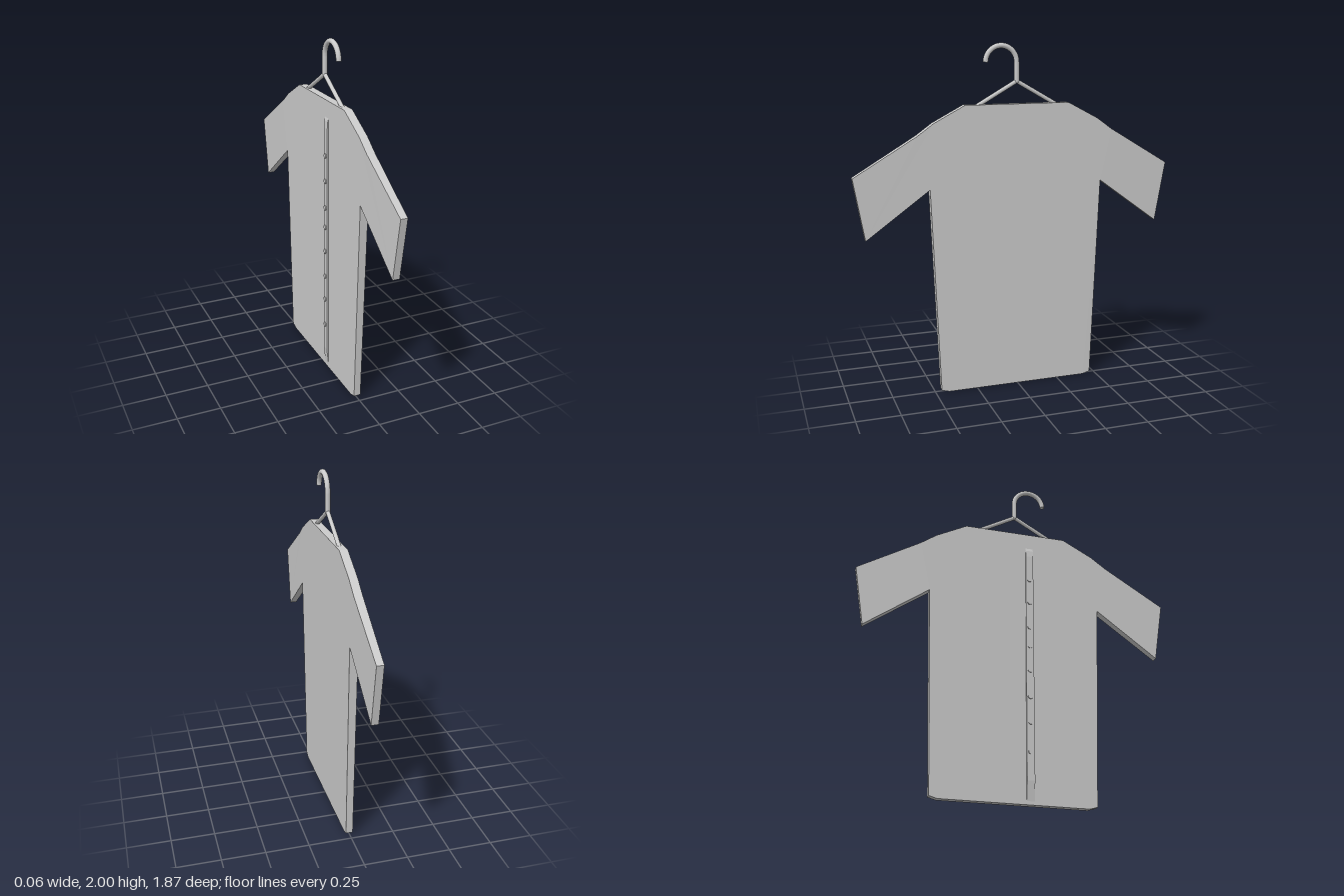
import * as THREE from 'three';

const material = new THREE.MeshStandardMaterial({ color: 0xcccccc });

export function createModel() {
  const model = new THREE.Group();
  const add = (name, geometry, parent = model) => {
    const mesh = new THREE.Mesh(geometry, material);
    mesh.name = name;
    parent.add(mesh);
    return mesh;
  };
  const V = (z, y) => new THREE.Vector3(0.003, y, z);

  // Shirt: mirrored half outline, hem to neck, as a thin slab facing x
  const half = [
    [0.42, 0], [0.465, 0.013], [0.51, 1.205], [0.875, 0.94],
    [0.935, 1.29], [0.575, 1.505], [0.485, 1.57], [0.305, 1.665],
  ];
  const outline = [...half, ...half.map(([z, y]) => [-z, y]).reverse()];
  const shirt = new THREE.ExtrudeGeometry(
    new THREE.Shape(outline.map(([z, y]) => new THREE.Vector2(z, y))),
    { depth: 0.047, bevelEnabled: false }
  );
  shirt.translate(0, 0, -0.0235).rotateY(Math.PI / 2);

  // Cloth is a little thinner at the cuffs and hem
  const p = shirt.attributes.position;
  for (let i = 0; i < p.count; i++) {
    const thin = Math.abs(p.getZ(i)) > 0.8 || p.getY(i) < 0.1;
    p.setX(i, p.getX(i) * (thin ? 0.85 : 1) + 0.002);
  }
  shirt.computeVertexNormals();
  add('shirt', shirt);

  // Button placket: raised strip tapering into the cloth at both ends
  const strip = [
    [0, 0.02], [0, 1.57], [-0.021, 1.57], [-0.027, 1.55],
    [-0.03, 1.51], [-0.03, 0.13], [-0.018, 0.02],
  ].map(([x, y]) => new THREE.Vector2(x, y));
  const placket = new THREE.ExtrudeGeometry(new THREE.Shape(strip), { depth: 0.045, bevelEnabled: false });
  add('placket', placket.translate(0, 0, 0.063));

  // Buttons
  const buttons = new THREE.Group();
  buttons.name = 'buttons';
  model.add(buttons);
  for (const y of [0.29, 0.46, 0.61, 0.77, 0.92, 1.04, 1.2, 1.35]) {
    const button = new THREE.CylinderGeometry(0.014, 0.014, 0.01, 16).rotateZ(Math.PI / 2);
    add('button', button, buttons).position.set(-0.03, y, 0.085);
  }

  // Hanger hook: straight stem followed by a half circle
  const hanger = new THREE.Group();
  hanger.name = 'hanger';
  model.add(hanger);
  const hookPath = new THREE.CurvePath();
  hookPath.add(new THREE.LineCurve3(V(0, 1.79), V(0, 1.895)));
  const arc = [];
  for (let i = 0; i <= 16; i++) {
    const a = (i / 16) * Math.PI;
    arc.push(V(0.09 - 0.09 * Math.cos(a), 1.895 + 0.09 * Math.sin(a)));
  }
  hookPath.add(new THREE.CatmullRomCurve3(arc));
  add('hook', new THREE.TubeGeometry(hookPath, 40, 0.015, 12), hanger);
  const tip = add('hookTip', new THREE.CircleGeometry(0.015, 12).rotateX(Math.PI / 2), hanger);
  tip.position.copy(V(0.18, 1.895));

  // Hanger arms slope down into the neck
  for (const side of [1, -1]) {
    const arm = new THREE.LineCurve3(V(0, 1.79), V(side * 0.28, 1.63));
    add('hangerArm', new THREE.TubeGeometry(arm, 1, 0.012, 10), hanger);
  }
  add('hangerJoint', new THREE.SphereGeometry(0.015, 12, 8), hanger).position.copy(V(0, 1.79));

  return model;
}
